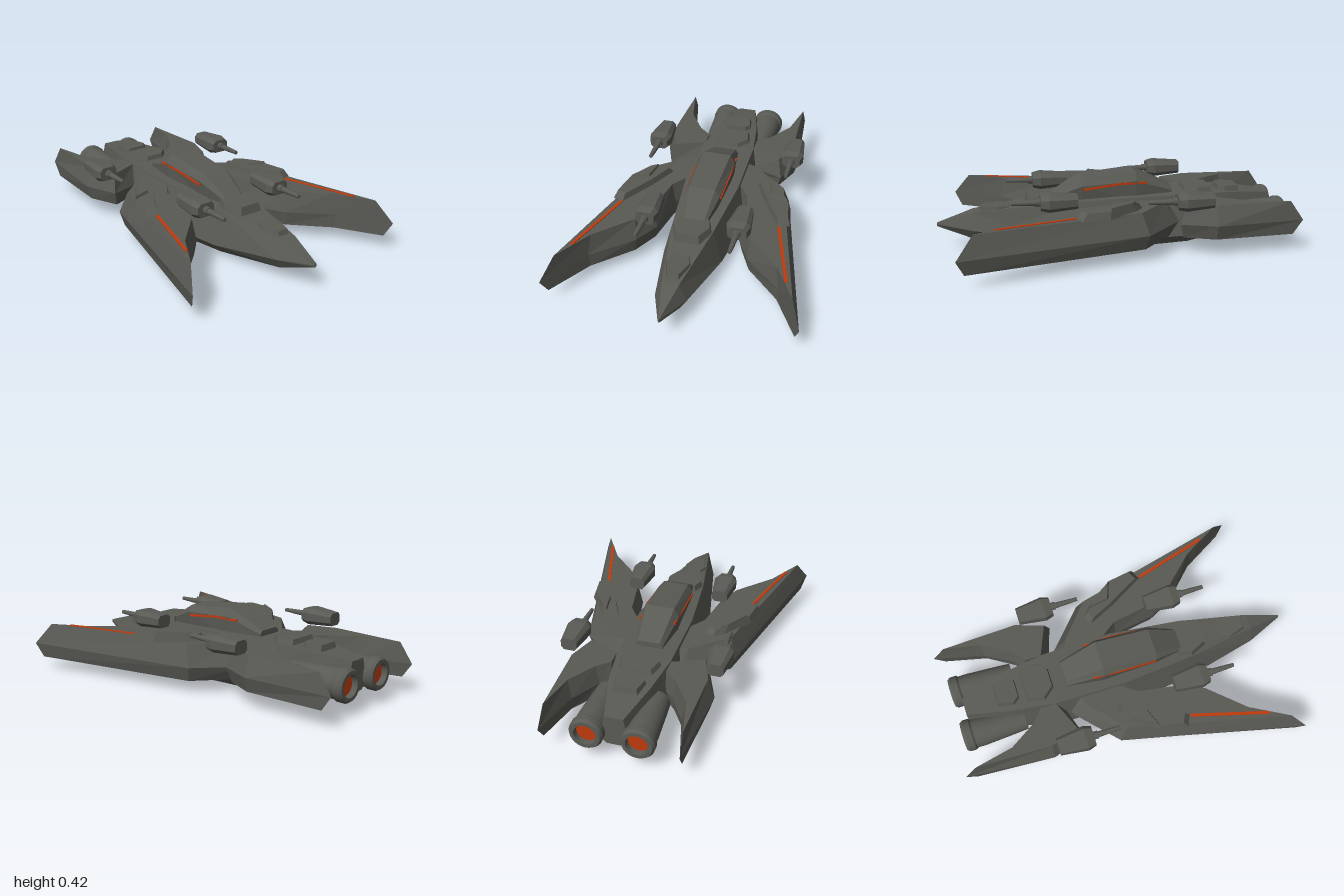
import * as THREE from 'three';

const hullGrey = new THREE.MeshStandardMaterial({ color: 0x5a5a55, flatShading: true });
hullGrey.name = 'hullGrey';
const glowOrange = new THREE.MeshStandardMaterial({ color: 0xc03a0c, flatShading: true });
glowOrange.name = 'glowOrange';
const smoothGrey = hullGrey.clone();
smoothGrey.flatShading = false;

// Closed solid through rings of points stacked along the y or z axis
function loft(rings, axis) {
  const k = axis === 'y' ? 1 : 2;
  const flat = (p) => (axis === 'y' ? new THREE.Vector2(p[2], p[0]) : new THREE.Vector2(p[0], p[1]));
  rings = rings.map((r) => r.slice());
  if (rings[0][0][k] > rings[rings.length - 1][0][k]) rings.reverse();
  const area = rings.reduce((s, r) => s + THREE.ShapeUtils.area(r.map(flat)), 0);
  if (area < 0) rings.forEach((r) => r.reverse());
  const pos = [];
  const tri = (a, b, c) => pos.push(...a, ...b, ...c);
  const n = rings[0].length;
  for (let j = 0; j < rings.length - 1; j++) {
    for (let i = 0; i < n; i++) {
      const a = rings[j], b = rings[j + 1], m = (i + 1) % n;
      tri(a[i], a[m], b[m]);
      tri(a[i], b[m], b[i]);
    }
  }
  const cap = (r, flip) => {
    for (const [a, b, c] of THREE.ShapeUtils.triangulateShape(r.map(flat), [])) {
      if (flip) tri(r[c], r[b], r[a]);
      else tri(r[a], r[b], r[c]);
    }
  };
  cap(rings[0], true);
  cap(rings[rings.length - 1], false);
  const g = new THREE.BufferGeometry();
  g.setAttribute('position', new THREE.Float32BufferAttribute(pos, 3));
  g.computeVertexNormals();
  return g;
}

// Ring at height y from [x, z] pairs, optionally mirrored
const level = (pts, y, side = 1) => pts.map(([x, z]) => [x * side, y, z]);

// Raised plate whose top is shrunk towards its middle
function plate(pts, y0, y1, shrink, side = 1) {
  const cx = pts.reduce((s, p) => s + p[0], 0) / pts.length;
  const cz = pts.reduce((s, p) => s + p[1], 0) / pts.length;
  const top = pts.map(([x, z]) => [cx + (x - cx) * shrink, cz + (z - cz) * shrink]);
  return loft([level(pts, y0, side), level(top, y1, side)], 'y');
}

// Left-right symmetric ring at depth z from [x, y] pairs
const section = (z, pts) => [
  ...pts.map(([x, y]) => [x, y, z]),
  ...pts.slice().reverse().map(([x, y]) => [-x, y, z]),
];

const symmetric = (pts) => [...pts, ...pts.slice().reverse().map(([x, z]) => [-x, z])];

export function createModel() {
  const model = new THREE.Group();
  model.name = 'starfighter';
  const add = (name, geometry, material = hullGrey, parent = model) => {
    const mesh = new THREE.Mesh(geometry, material);
    mesh.name = name;
    parent.add(mesh);
    return mesh;
  };

  // Hull: z, floor half width and y, chine half width and y, deck half width and y
  const hull = [
    [1, 0.003, 0.135, 0.005, 0.145, 0.003, 0.155],
    [0.8, 0.05, 0.065, 0.085, 0.12, 0.045, 0.215],
    [0.4, 0.12, 0.02, 0.165, 0.07, 0.115, 0.26],
    [0, 0.16, 0.002, 0.21, 0.06, 0.155, 0.285],
    [-0.4, 0.145, 0.015, 0.2, 0.065, 0.15, 0.29],
    [-0.65, 0.1, 0.05, 0.15, 0.09, 0.115, 0.285],
    [-0.9, 0.045, 0.09, 0.075, 0.13, 0.05, 0.26],
  ];
  add('hull', loft(hull.map(([z, a, b, c, d, e, f]) => section(z, [[a, b], [c, d], [e, f]])), 'z'));

  // Canopy
  const canopy = [
    [0.36, 0.06, 0.25, 0.065, 0.285, 0.055, 0.295],
    [0.2, 0.085, 0.25, 0.1, 0.35, 0.072, 0.387],
    [-0.11, 0.1, 0.25, 0.108, 0.37, 0.08, 0.418],
    [-0.32, 0.07, 0.25, 0.075, 0.3, 0.06, 0.32],
  ];
  add('canopy', loft(canopy.map(([z, a, b, c, d, e, f]) => section(z, [[a, b], [c, d], [e, f]])), 'z'));

  // Deck plates along the spine
  const deckPlates = [
    [[[0.05, 0.59], [0.072, 0.66], [0.035, 0.77]], 0.2, 0.245],
    [[[0.09, 0.33], [0.117, 0.41], [0.07, 0.51]], 0.23, 0.295],
    [[[0.06, -0.39], [0.12, -0.46], [0.095, -0.56]], 0.27, 0.315],
    [[[0.06, -0.59], [0.09, -0.63], [0.068, -0.725]], 0.26, 0.31],
  ];
  for (const [pts, y0, y1] of deckPlates) add('deckPlate', plate(symmetric(pts), y0, y1, 0.85));

  // Belly fairing
  add('bellyFairing', loft([
    section(-0.38, [[0.06, 0.02], [0.07, 0.06]]),
    section(-0.56, [[0.045, 0.025], [0.07, 0.08]]),
    section(-0.64, [[0.03, 0.06], [0.05, 0.09]]),
  ], 'z'));

  // Wing outlines: upper, widest and lower levels
  const wingTop = [[0.15, -0.27], [0.2, -0.25], [0.4, -0.08], [0.62, 0.81], [0.5, 0.6],
    [0.32, 0.41], [0.26, 0.28], [0.22, 0.05], [0.15, -0.05]];
  const wingMid = [[0.15, -0.36], [0.21, -0.32], [0.43, -0.12], [0.675, 0.9], [0.515, 0.63],
    [0.31, 0.44], [0.235, 0.3], [0.2, 0.05], [0.15, -0.03]];
  const wingLow = [[0.15, -0.31], [0.2, -0.28], [0.41, -0.1], [0.65, 0.86], [0.51, 0.62],
    [0.32, 0.43], [0.25, 0.29], [0.21, 0.05], [0.15, -0.04]];

  // Tail fin outlines
  const finTop = [[0.15, -0.41], [0.32, -0.34], [0.375, -0.5], [0.36, -0.925], [0.315, -0.71], [0.22, -0.56], [0.15, -0.5]];
  const finMid = [[0.15, -0.37], [0.34, -0.31], [0.412, -0.5], [0.365, -1], [0.295, -0.72], [0.2, -0.56], [0.15, -0.52]];
  const finLow = [[0.15, -0.4], [0.32, -0.33], [0.39, -0.5], [0.362, -0.945], [0.305, -0.71], [0.21, -0.56], [0.15, -0.5]];

  // Armour on top of each wing
  const armour = [[0.25, -0.08], [0.3, -0.105], [0.36, -0.06], [0.475, 0.1], [0.5, 0.25], [0.44, 0.28], [0.32, 0.07]];
  const armourCap = [[0.33, -0.07], [0.37, -0.04], [0.46, 0.1], [0.35, 0.06]];

  // Gun body is a chamfered box that widens towards the muzzle
  const gunRing = (z, w, h) => section(z, [[w * 0.65, -h], [w, -h * 0.5], [w, h * 0.5], [w * 0.65, h]]);
  const gunBody = loft([
    gunRing(-0.1, 0.045, 0.036), gunRing(0.055, 0.065, 0.047), gunRing(0.1, 0.052, 0.038),
  ], 'z');
  const barrel = new THREE.CylinderGeometry(0.011, 0.018, 0.16, 10).rotateX(Math.PI / 2);
  const collar = new THREE.CylinderGeometry(0.022, 0.022, 0.03, 10).rotateX(Math.PI / 2);

  // Engine pod profile, from the buried front to the recessed nozzle
  const podProfile = [[0, 0], [0.066, 0], [0.072, 0.08], [0.082, 0.25], [0.082, 0.3], [0.09, 0.31],
    [0.09, 0.345], [0.08, 0.36], [0.06, 0.36], [0.056, 0.325], [0, 0.325]];
  // Each segment has its own vertices so the rims stay sharp
  const podSegments = podProfile.slice(1).map((p, i) =>
    new THREE.LatheGeometry([podProfile[i], p].map(([r, h]) => new THREE.Vector2(r, h)), 24)
      .rotateX(-Math.PI / 2));
  const glowDisc = new THREE.CircleGeometry(0.057, 24).rotateY(Math.PI);

  for (const side of [1, -1]) {
    const s = side > 0 ? 'left' : 'right';
    add(s + 'Wing', loft([level(wingLow, 0.07, side), level(wingMid, 0.15, side), level(wingTop, 0.27, side)], 'y'));
    add(s + 'TailFin', loft([level(finLow, 0.095, side), level(finMid, 0.175, side), level(finTop, 0.285, side)], 'y'));
    add(s + 'WingArmour', plate(armour, 0.265, 0.305, 0.85, side));
    add(s + 'WingArmourCap', plate(armourCap, 0.3, 0.32, 0.85, side));
    add(s + 'WingStripe', plate([[0.436, 0.28], [0.452, 0.275], [0.575, 0.7], [0.559, 0.705]], 0.267, 0.274, 1, side), glowOrange);

    // Canopy stripe hugging the flank
    const strip = [[0.19, 0.1, 0.332], [-0.02, 0.106, 0.358], [-0.17, 0.099, 0.358]];
    add(s + 'CanopyStripe', loft(strip.map(([z, x, y]) => [
      [side * (x - 0.004), y - 0.006, z], [side * (x + 0.005), y - 0.006, z],
      [side * (x + 0.005), y + 0.006, z], [side * (x - 0.004), y + 0.006, z],
    ]), 'z'), glowOrange);

    // Guns
    for (const [name, x, y, z] of [['FrontGun', 0.253, 0.313, 0.345], ['RearGun', 0.402, 0.325, -0.37]]) {
      const gun = new THREE.Group();
      gun.name = s + name;
      gun.position.set(side * x, y, z);
      add('gunBody', gunBody, hullGrey, gun);
      add('gunCollar', collar, smoothGrey, gun).position.z = 0.11;
      add('gunBarrel', barrel, smoothGrey, gun).position.z = 0.175;
      model.add(gun);
    }

    // Engines
    const engine = new THREE.Group();
    engine.name = s + 'Engine';
    engine.position.set(side * 0.135, 0.162, -0.595);
    for (const g of podSegments) add('enginePod', g, smoothGrey, engine);
    add('engineGlow', glowDisc, glowOrange, engine).position.z = -0.328;
    model.add(engine);
  }
  return model;
}
